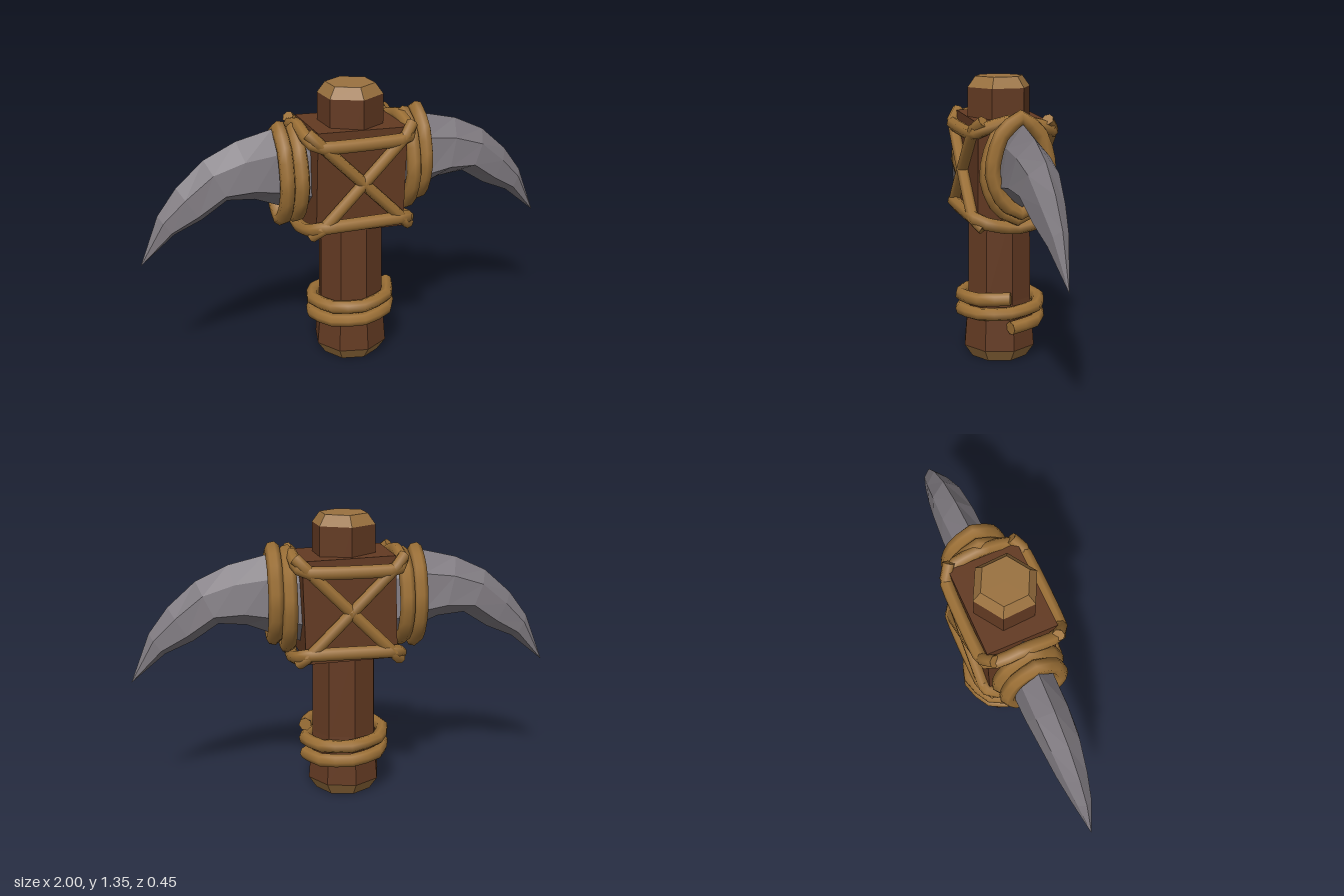
import * as THREE from 'three';

const flat = (name, color) => new THREE.MeshStandardMaterial({ name, color, flatShading: true });
const V = (x, y, z) => new THREE.Vector3(x, y, z);

export function createModel() {
  const wood = flat('dark wood', 0x633a22);
  const cutWood = flat('cut wood', 0x9a713f);
  const stone = flat('grey stone', 0x7e797f);
  const rope = new THREE.MeshStandardMaterial({ name: 'rope', color: 0x9c7036 });

  const model = new THREE.Group();
  model.name = 'pickaxe';
  const add = (name, geometry, material, parent = model) => {
    const mesh = new THREE.Mesh(geometry, material);
    mesh.name = name;
    parent.add(mesh);
    return mesh;
  };

  // Handle: faceted sections stacked from the ground up
  const section = (name, y0, y1, r0, r1, sides, turn, material) => {
    const g = new THREE.CylinderGeometry(r1, r0, y1 - y0, sides);
    g.rotateY(turn);
    g.translate(0, (y0 + y1) / 2, 0.01);
    add(name, g, material);
  };
  section('handleFoot', 0, 0.06, 0.14, 0.18, 8, 0.15, cutWood);
  section('handleFlare', 0.06, 0.3, 0.18, 0.16, 8, 0.15, wood);
  section('handleShaft', 0.3, 0.75, 0.16, 0.155, 8, 0.15, wood);
  section('handleTop', 0.75, 1.3, 0.155, 0.152, 6, 0.06, wood);
  section('handleCap', 1.3, 1.35, 0.152, 0.115, 6, 0.06, cutWood);

  // Wooden block holding the blades
  const block = add('headBlock', new THREE.BoxGeometry(0.43, 0.48, 0.33), wood);
  block.position.y = 0.925;
  block.rotation.z = -0.03;

  // Curved blade: six-sided sections [topX, topY, bottomX, bottomY, halfWidth]
  const sections = [
    [0.18, 1.15, 0.18, 0.74, 0.09], [0.37, 1.165, 0.36, 0.8, 0.1],
    [0.54, 1.125, 0.46, 0.84, 0.1], [0.69, 1.055, 0.59, 0.852, 0.09],
    [0.82, 0.94, 0.71, 0.775, 0.07], [0.91, 0.82, 0.84, 0.72, 0.045],
    [1, 0.59, 1, 0.59, 0],
  ];
  const outline = [[1, 0], [0.72, 0.75], [0.25, 1], [0, 0], [0.25, -1], [0.72, -0.75]];
  const positions = [];
  const index = [];
  sections.forEach(([tx, ty, bx, by, w], i) => {
    outline.forEach(([t, side], j) => {
      positions.push(bx + (tx - bx) * t, by + (ty - by) * t, side * w);
      if (i === sections.length - 1) return;
      const a = i * 6 + j, b = i * 6 + (j + 1) % 6;
      index.push(a, b, a + 6);
      if (i < sections.length - 2) index.push(b, b + 6, a + 6);
    });
  });
  const bladeGeometry = new THREE.BufferGeometry();
  bladeGeometry.setAttribute('position', new THREE.Float32BufferAttribute(positions, 3));
  bladeGeometry.setIndex(index);
  bladeGeometry.computeVertexNormals();
  add('leftBlade', bladeGeometry, stone);
  add('rightBlade', bladeGeometry, stone).rotation.y = Math.PI;

  // Rope along a path, with flat ends when open
  const addRope = (name, points, radius, closed, steps) => {
    const curve = new THREE.CatmullRomCurve3(points, closed, 'catmullrom', 0.3);
    const group = new THREE.Group();
    group.name = name;
    model.add(group);
    add(name + 'Strand', new THREE.TubeGeometry(curve, steps, radius, 7, closed), rope, group);
    if (closed) return;
    for (const t of [0, 1]) {
      const end = add(name + 'End', new THREE.CircleGeometry(radius, 7), rope, group);
      end.position.copy(curve.getPoint(t));
      const out = curve.getTangent(t).multiplyScalar(t ? 1 : -1);
      end.quaternion.setFromUnitVectors(V(0, 0, 1), out);
    }
  };

  // Oval rings binding each blade
  const ring = (name, x, top, bottom, w) => {
    const h = top - bottom;
    const shape = [[1, 0], [0.8, 0.72], [0.45, 1], [0.18, 0.75], [0, 0.2],
      [0, -0.2], [0.18, -0.75], [0.45, -1], [0.8, -0.72]];
    addRope(name, shape.map(([t, s]) => V(x, bottom + h * t, s * w)), 0.036, true, 18);
  };
  ring('leftOuterRing', 0.335, 1.192, 0.775, 0.13);
  ring('leftInnerRing', 0.272, 1.175, 0.735, 0.14);
  ring('rightOuterRing', -0.34, 1.165, 0.735, 0.13);
  ring('rightInnerRing', -0.275, 1.15, 0.745, 0.14);

  // Bands around the block, bowed to clear the blades
  for (const [name, y, bow] of [['upperBand', 1.11, 0.06], ['lowerBand', 0.73, -0.05]]) {
    addRope(name, [
      V(-0.19, y, 0.188), V(0.19, y, 0.188), V(0.245, y + bow * 0.5, 0.13), V(0.25, y + bow, 0),
      V(0.245, y + bow * 0.5, -0.13), V(0.19, y, -0.188), V(-0.19, y, -0.188),
      V(-0.245, y + bow * 0.5, -0.13), V(-0.25, y + bow, 0), V(-0.245, y + bow * 0.5, 0.13),
    ], 0.031, true, 32);
  }

  // Crossed lashings on the front and back
  for (const [face, z] of [['front', 0.185], ['back', -0.185]]) {
    for (const s of [1, -1]) {
      addRope(face + (s > 0 ? 'CrossA' : 'CrossB'), [
        V(-0.25 * s, 1.17, z * 0.8), V(-0.2 * s, 1.12, z),
        V(0.2 * s, 0.72, z), V(0.24 * s, 0.68, z * 0.8),
      ], 0.028, false, 10);
    }
  }

  // Grip rope: two descending turns around the handle
  const coil = [];
  for (let i = 0; i <= 16; i++) {
    const a = (i / 8) * Math.PI * 2;
    coil.push(V(0.19 * Math.cos(a), 0.325 - 0.072 * (i / 8), 0.005 + 0.19 * Math.sin(a)));
  }
  addRope('gripCoil', coil, 0.032, false, 32);

  return model;
}
